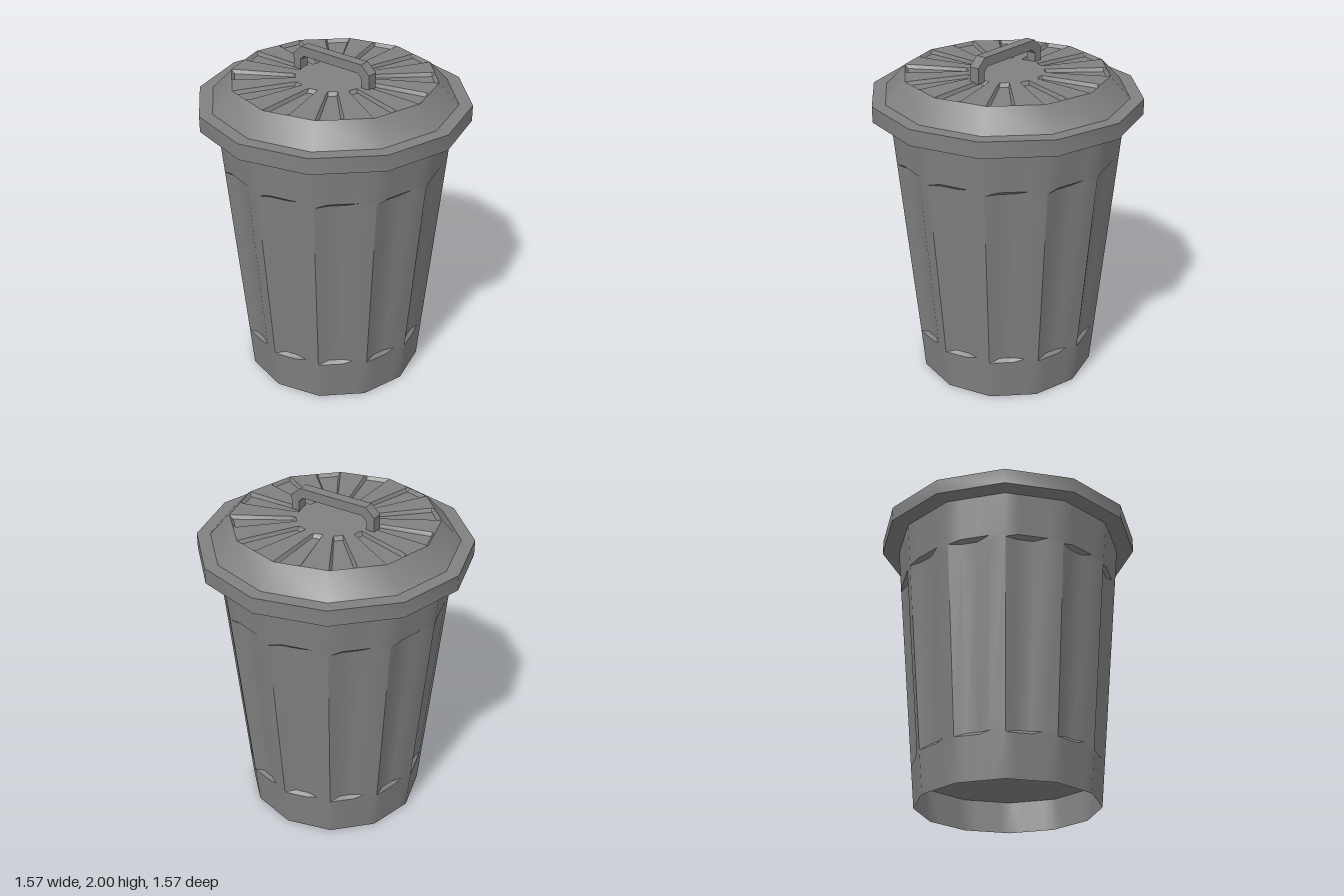
import * as THREE from 'three';
import { toCreasedNormals } from 'three/addons/utils/BufferGeometryUtils.js';

const SIDES = 12;
const STEP = (Math.PI * 2) / SIDES;
const smooth = (g) => toCreasedNormals(g, 0.6);

// Point on a twelve-sided outline: corner i plus fraction t along the flat side
function onSide(i, t, r, y) {
  const corner = (k) => new THREE.Vector3(Math.sin(k * STEP) * r, y, Math.cos(k * STEP) * r);
  return corner(i).lerp(corner(i + 1), t);
}

// Twelve-sided skin with one sunken panel per side.
// rows: [radius, height, sunken]; columns: [fraction, sunken]; sink moves a point inwards
function panelSkin(rows, columns, sink) {
  const points = [], index = [];
  const n = SIDES * columns.length;
  for (const [r, y, rowSunk] of rows)
    for (let i = 0; i < SIDES; i++)
      for (const [t, colSunk] of columns) {
        const p = onSide(i, t, r, y);
        if (rowSunk && colSunk) sink(p, i);
        points.push(p);
      }
  for (let r = 0; r < rows.length - 1; r++)
    for (let c = 0; c < n; c++) {
      const a = r * n + c, b = r * n + ((c + 1) % n);
      index.push(a, b, b + n, a, b + n, a + n);
    }
  const g = new THREE.BufferGeometry().setFromPoints(points);
  g.setIndex(index);
  return smooth(g);
}

export function createModel() {
  const group = new THREE.Group();
  const metal = new THREE.MeshStandardMaterial({ color: 0x808080, side: THREE.DoubleSide });
  metal.name = 'grey metal';
  const add = (name, geometry) => {
    const mesh = new THREE.Mesh(geometry, metal);
    mesh.name = name;
    group.add(mesh);
    return mesh;
  };

  // Tapered bin wall with upright sunken panels
  const radius = (y) => 0.532 + 0.091 * y;
  const wallRows = [[0], [0.25], [0.27, 1], [1.38, 1], [1.4], [1.68]].map(([y, s]) => [radius(y), y, s]);
  add('body', panelSkin(wallRows, [[0, 0], [0.22, 1], [0.5, 1], [0.72, 0]], (p, i) => {
    const a = (i + 0.5) * STEP;
    p.x -= Math.sin(a) * 0.02;
    p.z -= Math.cos(a) * 0.02;
  }));

  // Raised floor inside the open foot
  const floor = add('floor', new THREE.CircleGeometry(radius(0.195), SIDES));
  floor.rotation.x = Math.PI / 2;
  floor.position.y = 0.195;

  // Lid brim and sloping shoulder
  const brim = [[0.67, 1.652], [0.785, 1.652], [0.785, 1.745], [0.708, 1.745], [0.592, 1.867]];
  add('lidRim', smooth(new THREE.LatheGeometry(brim.map(([r, y]) => new THREE.Vector2(r, y)), SIDES)));

  // Lid top with radiating sunken wedges
  const topRows = [[0.592], [0.575, 1], [0.24, 1], [0.222], [0.001]].map(([r, s]) => [r, 1.867, s]);
  add('lidTop', panelSkin(topRows, [[0, 0], [0.05, 1], [0.45, 1], [0.5, 0]], (p) => {
    p.y -= 0.02;
  }));

  // Chamfered lid handle
  const half = [[0.272, 1.86], [0.272, 1.95], [0.215, 2], [-0.215, 2], [-0.272, 1.95], [-0.272, 1.86],
    [-0.222, 1.86], [-0.222, 1.918], [-0.195, 1.945], [0.195, 1.945], [0.222, 1.918], [0.222, 1.86]];
  const shape = new THREE.Shape(half.map(([x, y]) => new THREE.Vector2(x, y)));
  const handle = new THREE.ExtrudeGeometry(shape, { depth: 0.062, bevelEnabled: false });
  add('handle', handle.translate(0, 0, -0.031));

  return group;
}
